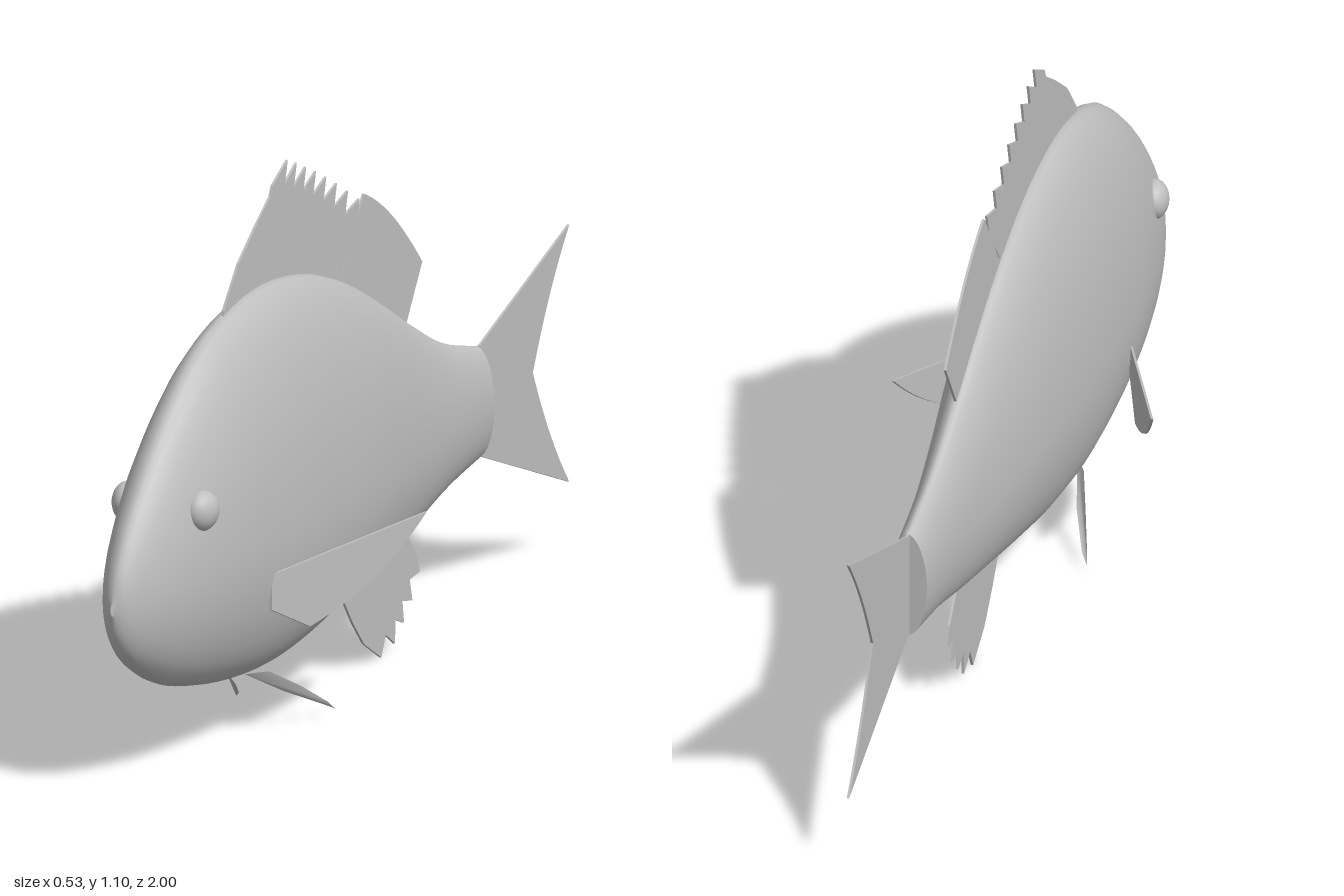
import * as THREE from 'three';

const grey = new THREE.MeshStandardMaterial({ color: 0xbfbfbf, side: THREE.DoubleSide });
const FIN = 0.005;

// Body stations from nose to tail: z, top y, bottom y, widest y, half width
const STATIONS = [
  [1.0, 0.40, 0.375, 0.388, 0.004], [0.985, 0.455, 0.325, 0.39, 0.024],
  [0.95, 0.52, 0.278, 0.395, 0.045], [0.89, 0.597, 0.235, 0.40, 0.068],
  [0.79, 0.70, 0.188, 0.41, 0.092], [0.64, 0.81, 0.15, 0.42, 0.111],
  [0.5, 0.862, 0.13, 0.42, 0.117], [0.36, 0.88, 0.123, 0.42, 0.118],
  [0.18, 0.86, 0.14, 0.42, 0.111], [0, 0.80, 0.175, 0.42, 0.098],
  [-0.15, 0.725, 0.206, 0.415, 0.08], [-0.3, 0.64, 0.238, 0.41, 0.061],
  [-0.45, 0.565, 0.275, 0.41, 0.046], [-0.6, 0.522, 0.30, 0.41, 0.038],
];

function bodyGeometry(rings = 64, sides = 40) {
  const outline = new THREE.CatmullRomCurve3(STATIONS.map(s => new THREE.Vector3(s[0], s[1], s[2])));
  const girth = new THREE.CatmullRomCurve3(STATIONS.map(s => new THREE.Vector3(s[0], s[3], s[4])));
  const pos = [], index = [];
  for (let i = 0; i <= rings; i++) {
    const o = outline.getPoint(i / rings), g = girth.getPoint(i / rings);
    for (let j = 0; j < sides; j++) {
      const a = (j / sides) * Math.PI * 2, c = Math.cos(a), s = Math.sin(a);
      // The back is a little more pointed than the belly
      const x = g.z * Math.sign(c) * Math.pow(Math.abs(c), s > 0 ? 1.15 : 1.05);
      pos.push(x, g.y + s * (s > 0 ? o.y - g.y : g.y - o.z), o.x);
      if (i < rings) {
        const p = i * sides + j, q = i * sides + (j + 1) % sides;
        index.push(p, p + sides, q, q, p + sides, q + sides);
      }
    }
  }
  // Flat cap at the tail root, with its own vertices for a sharp edge
  const cap = pos.length / 3;
  pos.push(...pos.slice(rings * sides * 3), 0, 0.41, -0.6);
  for (let j = 0; j < sides; j++) index.push(cap + sides, cap + (j + 1) % sides, cap + j);
  const geo = new THREE.BufferGeometry();
  geo.setAttribute('position', new THREE.Float32BufferAttribute(pos, 3));
  geo.setIndex(index);
  geo.computeVertexNormals();
  return geo;
}

// Thin upright plate from an outline drawn in (z, y)
function finGeometry(shape) {
  const geo = new THREE.ExtrudeGeometry(shape, { depth: FIN, bevelEnabled: false, curveSegments: 16 });
  return geo.translate(0, 0, -FIN / 2).rotateY(-Math.PI / 2);
}

const polygon = pts => new THREE.Shape(pts.map(p => new THREE.Vector2(p[0], p[1])));

function spinyDorsalShape() {
  const pts = [[0.52, 0.84], [0.515, 0.867], [0.45, 0.945], [0.37, 1.005], [0.31, 1.045], [0.30, 1.065]];
  const tips = new THREE.QuadraticBezierCurve(
    new THREE.Vector2(0.235, 1.10), new THREE.Vector2(0.1, 1.05), new THREE.Vector2(-0.08, 0.945));
  for (let i = 0; i < 8; i++) {
    const t = tips.getPoint(i / 7);
    pts.push([t.x, t.y], [t.x + 0.012, t.y - 0.045]);
  }
  pts.push([0, 0.81], [0, 0.77], [0.2, 0.82], [0.37, 0.84]);
  return polygon(pts);
}

function softDorsalShape() {
  const s = new THREE.Shape();
  s.moveTo(0, 0.76);
  s.lineTo(0, 0.805);
  s.lineTo(-0.1, 0.95);
  s.quadraticCurveTo(-0.22, 0.90, -0.355, 0.752);
  s.lineTo(-0.285, 0.645);
  s.lineTo(-0.27, 0.61);
  return s;
}

function tailShape() {
  const s = new THREE.Shape();
  s.moveTo(-0.59, 0.522);
  s.lineTo(-0.61, 0.522);
  s.lineTo(-1, 0.667);
  s.quadraticCurveTo(-0.91, 0.56, -0.84, 0.41);
  s.quadraticCurveTo(-0.91, 0.26, -1, 0.153);
  s.lineTo(-0.61, 0.30);
  s.lineTo(-0.59, 0.30);
  return s;
}

function analShape() {
  return polygon([[0, 0.22], [0, 0.172], [-0.05, 0.105], [-0.1, 0.05], [-0.175, 0.005], [-0.195, 0.045],
    [-0.235, 0.018], [-0.238, 0.065], [-0.275, 0.05], [-0.268, 0.095], [-0.312, 0.085],
    [-0.30, 0.13], [-0.345, 0.135], [-0.33, 0.175], [-0.275, 0.235], [-0.25, 0.27]]);
}

// Side fin plate, swept outward toward its rear
function pectoralGeometry(side) {
  const s = new THREE.Shape();
  s.moveTo(0.525, 0.355);
  s.lineTo(0.16, 0.41);
  s.quadraticCurveTo(0.27, 0.285, 0.435, 0.235);
  s.lineTo(0.525, 0.285);
  const geo = finGeometry(s), p = geo.attributes.position;
  for (let i = 0; i < p.count; i++) {
    p.setX(i, p.getX(i) + side * (0.108 + (0.525 - p.getZ(i)) * 0.42));
  }
  geo.computeVertexNormals();
  return geo;
}

// Slim leaf under the belly, splayed out and back
function pelvicGeometry(side) {
  const rim = [[0.02, 0.13, 0.46], [0.05, 0.075, 0.355], [0.088, 0.032, 0.265], [0.106, 0.018, 0.24],
    [0.1, 0.036, 0.26], [0.076, 0.082, 0.33], [0.048, 0.127, 0.41]];
  const geo = new THREE.BufferGeometry();
  geo.setAttribute('position', new THREE.Float32BufferAttribute(rim.flatMap(p => [side * p[0], p[1], p[2]]), 3));
  const index = [];
  for (let i = 1; i < rim.length - 1; i++) index.push(0, side > 0 ? i : i + 1, side > 0 ? i + 1 : i);
  geo.setIndex(index);
  geo.computeVertexNormals();
  return geo;
}

export function createModel() {
  const fish = new THREE.Group();
  fish.name = 'fish';
  const add = (name, geo) => {
    const mesh = new THREE.Mesh(geo, grey);
    mesh.name = name;
    fish.add(mesh);
    return mesh;
  };
  grey.name = 'grey';

  add('body', bodyGeometry());
  add('spinyDorsalFin', finGeometry(spinyDorsalShape()));
  add('softDorsalFin', finGeometry(softDorsalShape()));
  add('tailFin', finGeometry(tailShape()));
  add('analFin', finGeometry(analShape()));

  // Paired parts
  for (const [label, side] of [['left', 1], ['right', -1]]) {
    add(label + 'PectoralFin', pectoralGeometry(side));
    add(label + 'PelvicFin', pelvicGeometry(side));
    const eye = add(label + 'Eye', new THREE.SphereGeometry(0.04, 24, 16));
    eye.scale.x = 0.75;
    eye.position.set(side * 0.08, 0.54, 0.77);
    eye.rotation.y = side * -0.2;
  }
  return fish;
}
